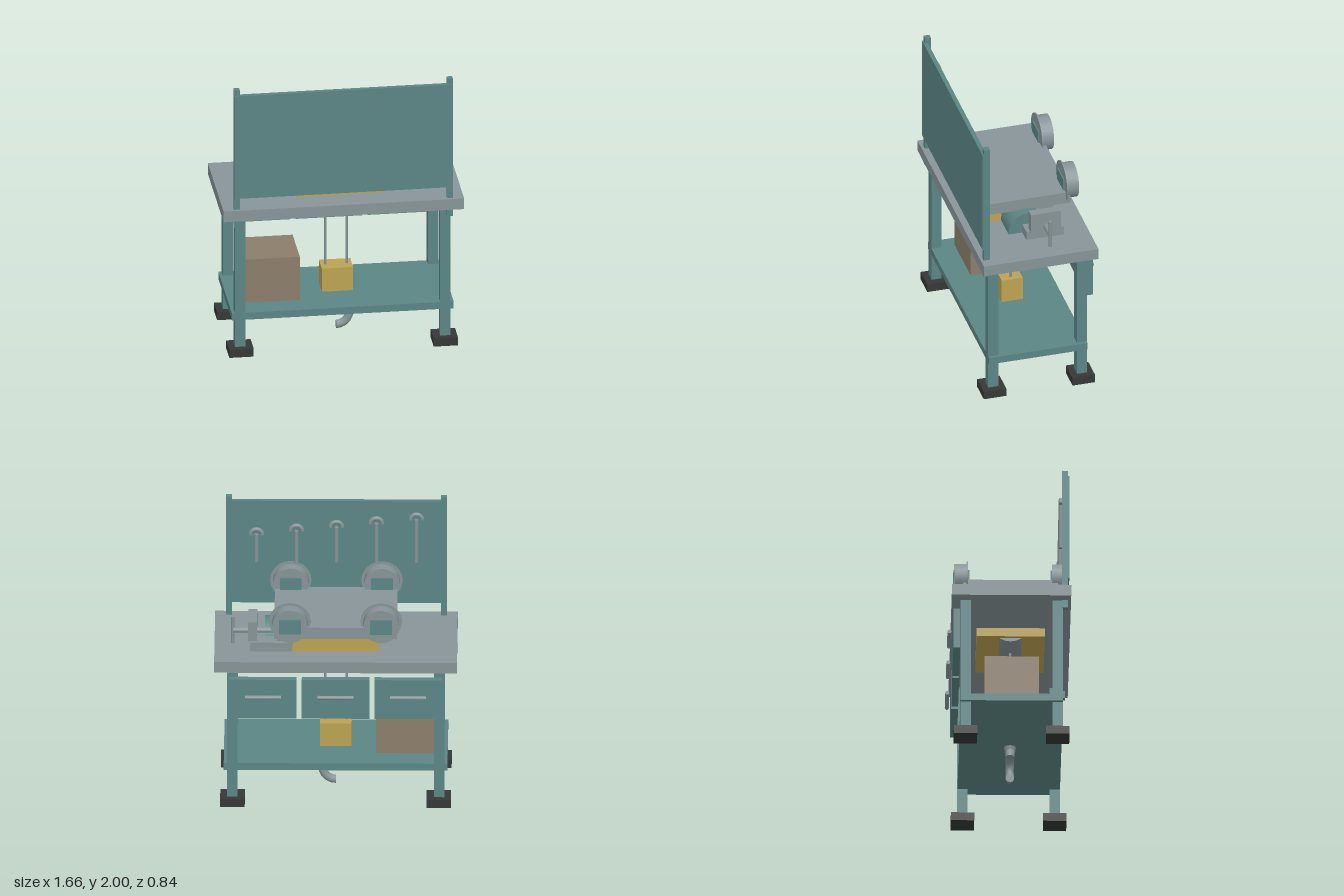
import * as THREE from 'three';

const paint = (name, color) => {
  const m = new THREE.MeshStandardMaterial({ color });
  m.name = name;
  return m;
};

export function createModel() {
  const teal = paint('teal', 0x5b8584);
  const steel = paint('steel grey', 0x879497);
  const gold = paint('ochre', 0xbca352);
  const brown = paint('cardboard brown', 0x8b7d6b);
  const dark = paint('rubber black', 0x353837);
  const root = new THREE.Group();
  root.name = 'workbench';
  const MID = 0.0125; // depth of the hoist's centre line

  const add = (name, geo, mat, x, y, z, parent = root) => {
    const m = new THREE.Mesh(geo, mat);
    m.name = name;
    m.position.set(x, y, z);
    parent.add(m);
    return m;
  };
  // Box from its limits on each axis
  const box = (name, mat, x0, x1, y0, y1, z0, z1, parent) =>
    add(name, new THREE.BoxGeometry(x1 - x0, y1 - y0, z1 - z0), mat,
      (x0 + x1) / 2, (y0 + y1) / 2, (z0 + z1) / 2, parent);
  // Cylinder along a chosen axis, centred on x, y, z
  const rod = (name, mat, axis, r, len, x, y, z, sides = 16, parent = root) => {
    const g = new THREE.CylinderGeometry(r, r, len, sides);
    if (axis === 'x') g.rotateZ(Math.PI / 2);
    if (axis === 'z') g.rotateX(Math.PI / 2);
    return add(name, g, mat, x, y, z, parent);
  };

  // Bench frame
  box('tabletop', steel, -0.83, 0.83, 1.025, 1.105, -0.395, 0.42);
  box('lowerShelf', teal, -0.765, 0.765, 0.26, 0.312, -0.335, 0.365);
  for (const s of [-1, 1]) {
    for (const z of [0.329, -0.302]) {
      add('leg', new THREE.BoxGeometry(0.072, 0.965, 0.072), teal, s * 0.708, 0.5425, z);
      add('foot', new THREE.BoxGeometry(0.168, 0.06, 0.16), dark, s * 0.705, 0.03, z);
    }
    add('panelPost', new THREE.BoxGeometry(0.04, 1.03, 0.042), teal, s * 0.735, 1.485, 0.378);
  }
  box('backPanel', teal, -0.755, 0.755, 1.19, 1.96, 0.378, 0.408);

  // Drawers with bar handles
  for (const x of [-0.497, 0, 0.497]) {
    box('drawer', teal, x - 0.231, x + 0.231, 0.675, 0.968, -0.385, -0.338);
    rod('drawerHandle', steel, 'x', 0.014, 0.246, x, 0.845, -0.41, 12);
  }

  // Storage box on the shelf
  box('storageBox', brown, -0.675, -0.275, 0.312, 0.635, -0.17, 0.2);

  // Tools hanging on the panel
  for (let i = 0; i < 5; i++) {
    const x = 0.547 - i * 0.2735, top = 1.717 + i * 0.029;
    const tool = new THREE.Group();
    tool.name = 'hangingTool';
    root.add(tool);
    rod('toolHandle', steel, 'y', 0.014, top - 1.512, x, (top + 1.512) / 2, 0.352, 10, tool);
    add('toolHead', new THREE.TorusGeometry(0.04, 0.015, 8, 12, Math.PI), steel, x, top, 0.352, tool);
  }

  // Hoist trolley: body, deck, drum and motor
  box('hoistBody', gold, -0.295, 0.295, 0.963, 1.26, -0.22, 0.247);
  box('trolleyDeck', steel, -0.42, 0.42, 1.245, 1.33, -0.314, 0.335);
  rod('ropeDrum', steel, 'x', 0.13, 0.54, 0, 1.066, MID, 24);
  rod('motor', teal, 'x', 0.135, 0.2, 0.385, 1.12, MID, 20);

  // Flanged wheels, all facing the same way, with teal bearing blocks
  for (const x of [-0.312, 0.312]) {
    for (const z of [-0.33, 0.335]) {
      const wheel = new THREE.Group();
      wheel.name = 'trolleyWheel';
      wheel.position.set(x, 1.363, z);
      root.add(wheel);
      rod('tread', steel, 'z', 0.123, 0.08, 0, 0, 0, 20, wheel);
      rod('flange', steel, 'z', 0.142, 0.01, 0, 0, 0.045, 20, wheel);
      box('bearingBlock', teal, -0.075, 0.075, -0.054, 0.054, -0.05, 0.06, wheel);
    }
  }

  // Ropes, hook block and hook
  for (const x of [-0.073, 0.073]) rod('rope', steel, 'y', 0.009, 0.49, x, 0.715, MID, 10);
  box('hookBlock', gold, -0.108, 0.108, 0.27, 0.485, -0.062, 0.088);
  add('hookShank', new THREE.CylinderGeometry(0.042, 0.03, 0.08, 12), steel, 0, 0.225, MID);
  const hook = new THREE.TorusGeometry(0.092, 0.029, 10, 18, Math.PI * 1.42);
  hook.rotateZ(-Math.PI / 2);
  add('hook', hook, steel, 0, 0.122, MID);
  // Closed ends of the hook
  for (const a of [-0.5, 0.92]) {
    const cap = new THREE.CircleGeometry(0.029, 10);
    cap.rotateX(a < 0 ? Math.PI / 2 : -Math.PI / 2);
    cap.translate(0.092, 0, 0);
    cap.rotateZ(a * Math.PI);
    add('hookEnd', cap, steel, 0, 0.122, MID);
  }

  // Vise on the left end of the bench
  box('viseBase', steel, 0.3, 0.585, 1.105, 1.17, -0.22, 0.048);
  box('viseFixedJaw', steel, 0.34, 0.4, 1.17, 1.31, -0.195, 0.02);
  box('viseMovingJaw', steel, 0.538, 0.6, 1.165, 1.31, -0.195, 0.02);
  rod('viseScrew', steel, 'x', 0.02, 0.33, 0.54, 1.205, -0.088, 12);
  rod('viseHandle', steel, 'y', 0.012, 0.2, 0.705, 1.205, -0.088, 10);

  return root;
}
